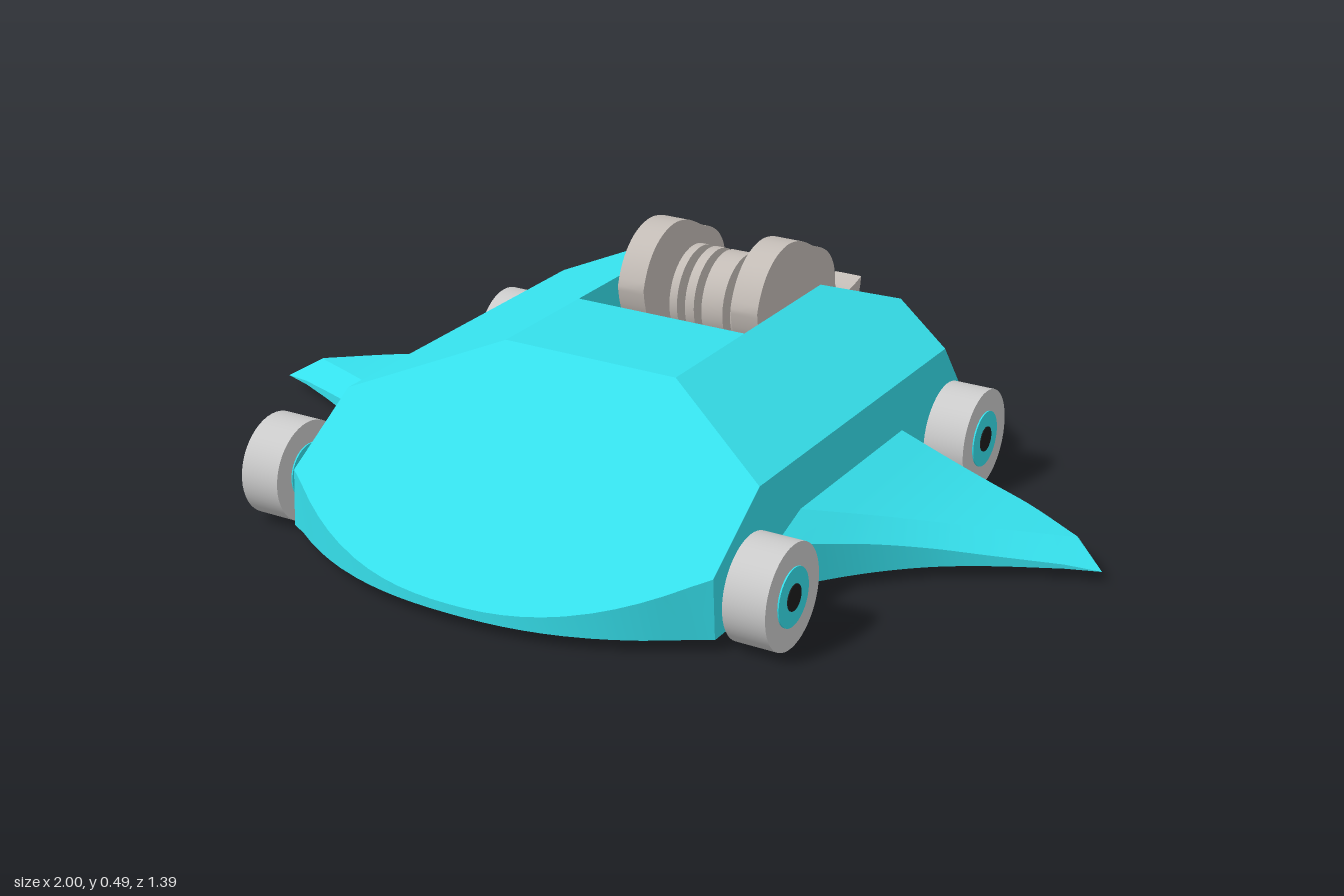
import * as THREE from 'three';
import { toCreasedNormals } from 'three/addons/utils/BufferGeometryUtils.js';

const paint = (color) => new THREE.MeshStandardMaterial({ color });
const cyan = paint(0x35dfeb), tyre = paint(0xcccccc), steel = paint(0xc4bdb7), black = paint(0x1c1c1c);
const FLOOR = 0.025;

function add(parent, name, geometry, material) {
  const mesh = new THREE.Mesh(geometry, material);
  mesh.name = name;
  parent.add(mesh);
  return mesh;
}

// Joins rings of [x, y, z] points (x rising, counter-clockwise seen from +x) into a capped solid
function loft(rings) {
  const pos = [];
  const tri = (a, b, c) => pos.push(...a, ...b, ...c);
  const n = rings[0].length;
  for (let r = 0; r < rings.length - 1; r++) {
    const a = rings[r], b = rings[r + 1];
    for (let i = 0; i < n; i++) {
      const j = (i + 1) % n;
      tri(a[i], a[j], b[j]);
      tri(a[i], b[j], b[i]);
    }
  }
  const first = rings[0], last = rings[rings.length - 1];
  for (let i = 1; i < n - 1; i++) {
    tri(first[0], first[i + 1], first[i]);
    tri(last[0], last[i], last[i + 1]);
  }
  const g = new THREE.BufferGeometry();
  g.setAttribute('position', new THREE.Float32BufferAttribute(pos, 3));
  return toCreasedNormals(g, 0.35);
}

// Mirrors a ring list to the given side, keeping x rising
const toSide = (rings, side) => side > 0 ? rings
  : rings.map((ring) => ring.map(([x, y, z]) => [-x, y, z])).reverse();

// Cylinder lying along x
function rod(radius, length, segments = 40) {
  return new THREE.CylinderGeometry(radius, radius, length, segments).rotateZ(Math.PI / 2);
}

// Wedge body: roof, sloping nose plate and rounded front, with a slot cut in the rear
function bodyGeometry() {
  const roof = (x) => 0.37 - Math.max(0, x - 0.2) * 0.375;
  const slope = (z) => 0.37 - (z - 0.18) * 0.631;
  const nose = (x) => 0.695 - 0.165 * Math.pow(x / 0.48, 2.3);
  const column = (x, rear) => {
    const y = roof(x), n = nose(x);
    const flare = (py) => x > 0.47 ? x + 0.01 * (0.265 - py) / 0.24 : x;
    return [
      [flare(FLOOR), FLOOR, rear], [x, y, rear], [x, y, 0.18 + (0.37 - y) / 0.631],
      [flare(slope(n)), slope(n), n], [flare(FLOOR), FLOOR, n],
    ];
  };
  const half = [0, 0.04, 0.08, 0.12, 0.16, 0.2].map((x) => column(x, -0.1));
  for (const x of [0.2, 0.24, 0.29, 0.33, 0.37, 0.41, 0.45, 0.48]) {
    const rear = x < 0.33 ? -0.44 - (x - 0.2) : -0.57 + (x - 0.33) * 0.6;
    half.push(column(x, rear));
  }
  return loft([...toSide(half, -1), ...half]);
}

// Curved ramp at the tail of each pod
function rampRings() {
  const profile = [[-0.4, FLOOR], [-0.7, FLOOR], [-0.63, 0.06], [-0.57, 0.138], [-0.48, 0.265], [-0.4, 0.265]];
  return [
    profile.map(([z, y]) => [0.2, y, z]),
    profile.map(([z, y]) => [0.48 + 0.01 * (0.265 - y) / 0.24, y, z]),
  ];
}

// Swept side wing with a bevelled leading edge; smooth curves through a few stations
function wingRings() {
  // x, leading z, bevel z, trailing z, leading y, top y
  const stations = [
    [0.47, 0.31, 0.2, -0.27, 0.125, 0.16],
    [0.6, 0.14, 0.06, -0.262, 0.09, 0.118],
    [0.7, 0.045, -0.02, -0.245, 0.066, 0.095],
    [0.8, -0.02, -0.08, -0.215, 0.048, 0.081],
    [0.93, -0.085, -0.147, -0.15, 0.034, 0.068],
  ];
  const lead = new THREE.CatmullRomCurve3(stations.map((s) => new THREE.Vector3(s[0], s[4], s[1])));
  const bevel = new THREE.CatmullRomCurve3(stations.map((s) => new THREE.Vector3(s[0], s[5], s[2])));
  const trail = new THREE.CatmullRomCurve3(stations.map((s) => new THREE.Vector3(s[0], s[5], s[3])));
  const rings = [];
  for (let i = 0; i <= 20; i++) {
    const [l, b, t] = [lead, bevel, trail].map((c) => c.getPoint(i / 20));
    rings.push([[t.x, FLOOR, t.z], [t.x, t.y, t.z], [b.x, b.y, b.z], [l.x, l.y, l.z], [l.x, FLOOR, l.z]]);
  }
  const tip = [1, FLOOR, -0.11];
  rings.push([tip, tip, tip, tip, tip]);
  return rings;
}

function makeWheel(side, z) {
  const wheel = new THREE.Group();
  wheel.name = 'wheel';
  wheel.position.set(side * 0.56, 0.107, z);
  add(wheel, 'tyre', rod(0.107, 0.09, 48), tyre);
  add(wheel, 'hub', rod(0.06, 0.096), cyan);
  add(wheel, 'hubCap', rod(0.027, 0.1), black);
  add(wheel, 'wheelAxle', rod(0.025, 0.1, 20), steel).position.x = -side * 0.08;
  return wheel;
}

// Hooked spinner plate, outlined in (-z, y)
function spinnerGeometry() {
  const s = new THREE.Shape();
  s.moveTo(0.7, 0.303);
  s.bezierCurveTo(0.69, 0.22, 0.63, 0.17, 0.57, 0.155);
  s.bezierCurveTo(0.45, 0.12, 0.33, 0.17, 0.27, 0.24);
  s.bezierCurveTo(0.235, 0.28, 0.215, 0.32, 0.21, 0.37);
  s.bezierCurveTo(0.23, 0.45, 0.29, 0.485, 0.35, 0.485);
  s.bezierCurveTo(0.42, 0.48, 0.44, 0.45, 0.49, 0.435);
  s.bezierCurveTo(0.54, 0.415, 0.57, 0.38, 0.57, 0.325);
  s.bezierCurveTo(0.59, 0.275, 0.64, 0.285, 0.7, 0.303);
  const g = new THREE.ExtrudeGeometry(s, { depth: 0.064, bevelEnabled: false, curveSegments: 14 });
  return toCreasedNormals(g.rotateY(Math.PI / 2).translate(-0.032, 0, 0), 0.5);
}

// Ribbed drum between the plates
function drumGeometry() {
  const points = [[0, -0.11]];
  for (const x of [-0.098, -0.056, 0, 0.056, 0.098]) {
    const w = x === 0 ? 0.026 : 0.011;
    points.push([0.065, x - w - 0.006], [0.105, x - w], [0.105, x + w], [0.065, x + w + 0.006]);
  }
  points.push([0, 0.11]);
  const g = new THREE.LatheGeometry(points.map(([r, y]) => new THREE.Vector2(r, y)), 40);
  return toCreasedNormals(g.rotateZ(Math.PI / 2), 0.5);
}

export function createModel() {
  const model = new THREE.Group();
  model.name = 'wedgeVehicle';
  add(model, 'body', bodyGeometry(), cyan);

  for (const side of [-1, 1]) {
    add(model, 'tailRamp', loft(toSide(rampRings(), side)), cyan);
    add(model, 'sideWing', loft(toSide(wingRings(), side)), cyan);
    for (const z of [0.443, -0.42]) model.add(makeWheel(side, z));
  }

  // Spinning weapon in the rear slot
  const weapon = new THREE.Group();
  weapon.name = 'spinner';
  for (const side of [-1, 1]) add(weapon, 'hookPlate', spinnerGeometry(), steel).position.x = side * 0.138;
  add(weapon, 'drum', drumGeometry(), steel).position.set(0, 0.305, -0.425);
  add(weapon, 'spinnerAxle', rod(0.03, 0.44, 24), steel).position.set(0, 0.305, -0.425);
  model.add(weapon);
  return model;
}
